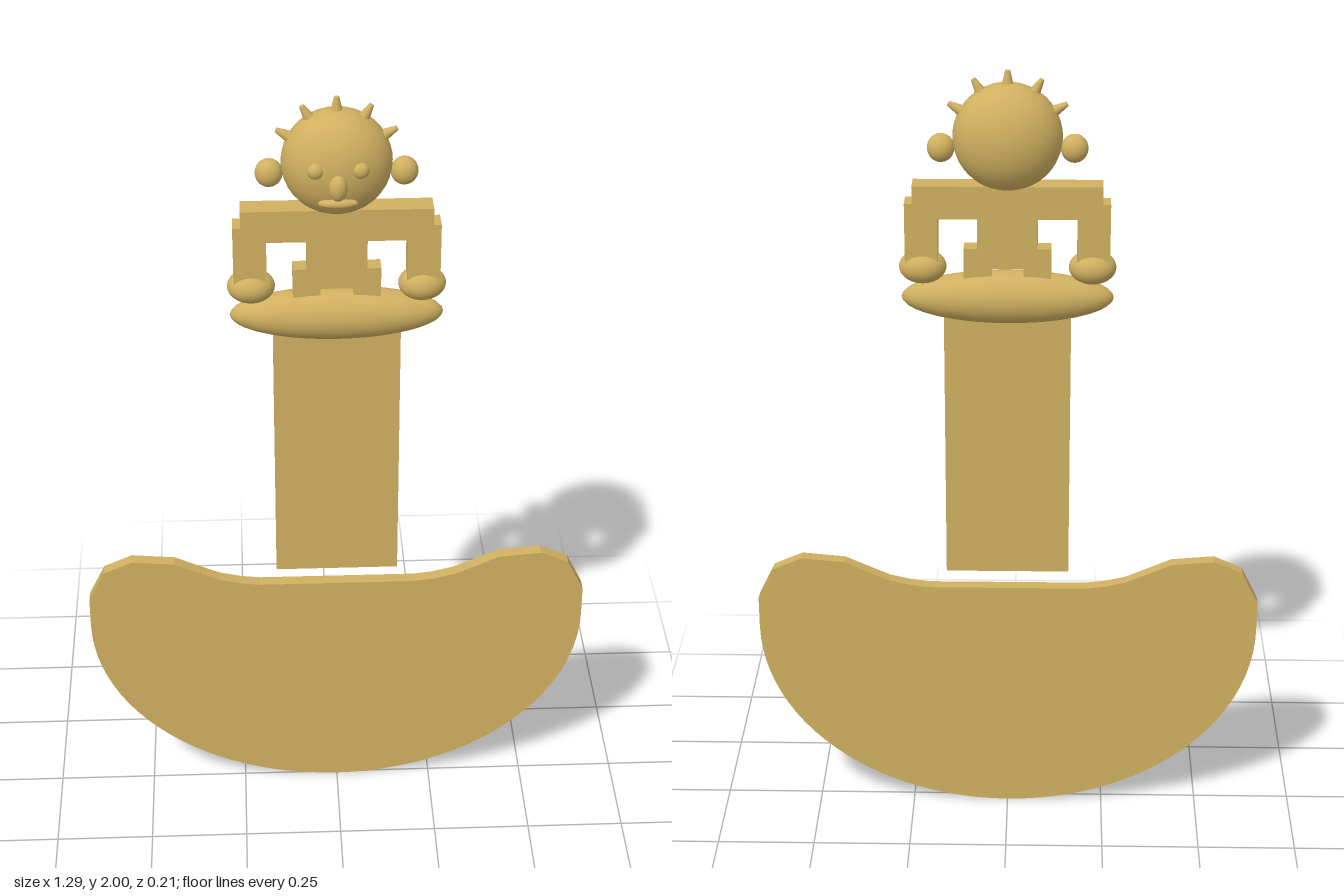
import * as THREE from 'three';

const gold = new THREE.MeshStandardMaterial({ color: 0xd0b060 });
gold.name = 'gold';
const Z = -0.01; // mid-plane of the flat parts

export function createModel() {
  const model = new THREE.Group();
  model.name = 'ceremonialKnife';

  const add = (name, geometry, x, y, z = Z) => {
    const mesh = new THREE.Mesh(geometry, gold);
    mesh.name = name;
    mesh.position.set(x, y, z);
    model.add(mesh);
    return mesh;
  };
  const box = (name, w, h, d, x, y) => add(name, new THREE.BoxGeometry(w, h, d), x, y);
  const ball = (name, rx, ry, rz, x, y, z) =>
    add(name, new THREE.SphereGeometry(1, 32, 20).scale(rx, ry, rz), x, y, z);

  // Half-moon blade: rounded belly below, two horns and a flat dip on top
  const outline = new THREE.Shape();
  outline.moveTo(0.645, 0.6);
  for (const [x, y] of [[0.603, 0.685], [0.53, 0.717], [0.42, 0.707], [0.36, 0.68],
    [0.305, 0.656], [0.25, 0.643], [0.2, 0.637]]) outline.lineTo(x, y);
  for (const [x, y] of [[-0.2, 0.637], [-0.25, 0.643], [-0.305, 0.656], [-0.36, 0.68],
    [-0.42, 0.707], [-0.53, 0.717], [-0.603, 0.685], [-0.645, 0.6]]) outline.lineTo(x, y);
  for (let i = 0; i <= 48; i++) {
    const a = Math.PI * (1 + i / 48);
    outline.lineTo(0.645 * Math.cos(a), 0.52 + 0.52 * Math.sin(a));
  }
  outline.closePath();
  const blade = new THREE.ExtrudeGeometry(outline, { depth: 0.034, bevelEnabled: false });
  add('blade', blade.translate(0, 0, -0.017), 0, 0);

  // Handle and the oval base the figure sits on
  box('handle', 0.312, 0.732, 0.042, 0, 1.054);
  ball('base', 0.26, 0.066, 0.061, 0, 1.432);

  // Body
  box('torso', 0.146, 0.19, 0.058, 0, 1.608);
  box('shoulders', 0.46, 0.082, 0.06, 0, 1.681);
  for (const s of [-1, 1]) {
    box('leg', 0.067, 0.11, 0.046, s * 0.073, 1.508);
    box('arm', 0.08, 0.175, 0.054, s * 0.209, 1.59);
    ball('hand', 0.058, 0.042, 0.046, s * 0.207, 1.51);
  }

  // Head and face
  ball('head', 0.132, 0.132, 0.094, 0, 1.838);
  for (const s of [-1, 1]) {
    ball('ear', 0.033, 0.035, 0.028, s * 0.16, 1.81);
    ball('eye', 0.02, 0.02, 0.017, s * 0.053, 1.85, 0.071);
  }
  ball('nose', 0.022, 0.033, 0.022, 0, 1.81, 0.08);
  ball('mouth', 0.047, 0.013, 0.015, 0, 1.765, 0.068);

  // Fan of blunt spikes over the crown
  for (let i = -2; i <= 2; i++) {
    const a = i * Math.PI / 6;
    const spike = add('crownSpike', new THREE.CylinderGeometry(0.006, 0.018, 0.052, 16),
      0.137 * Math.sin(a), 1.838 + 0.136 * Math.cos(a));
    spike.rotation.z = -a;
  }
  return model;
}
